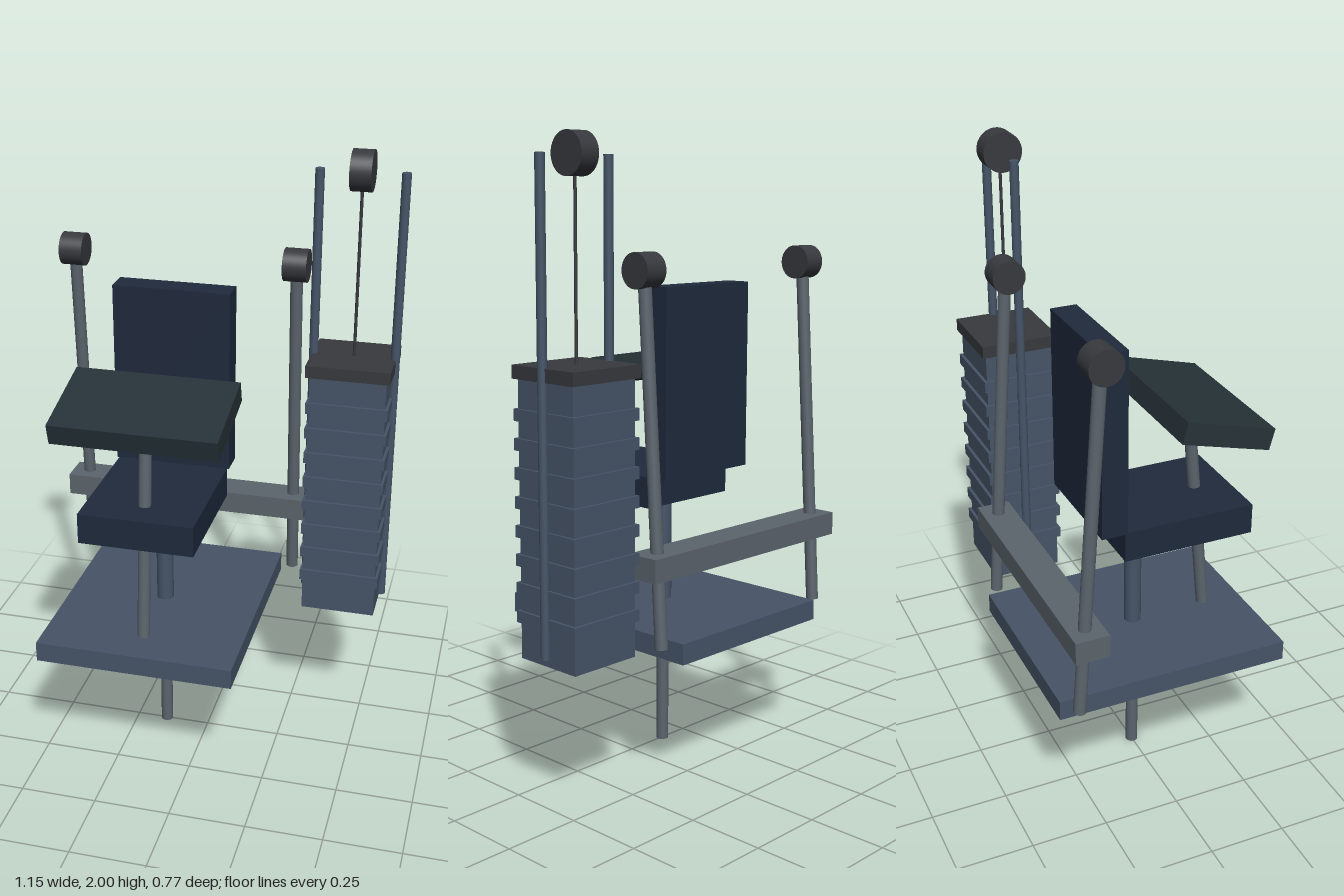
import * as THREE from 'three';

const mat = (color) => new THREE.MeshStandardMaterial({ color });

export function createModel() {
  const model = new THREE.Group();
  const steel = mat(0x5b646c), slate = mat(0x465467), navy = mat(0x1f2a3c);
  const deskGreen = mat(0x263238), dark = mat(0x37393e);

  const add = (name, geometry, material, x, y, z) => {
    const mesh = new THREE.Mesh(geometry, material);
    mesh.name = name;
    mesh.position.set(x, y, z);
    model.add(mesh);
    return mesh;
  };

  // Box given by its limits on each axis
  const block = (name, material, [x0, x1], [y0, y1], [z0, z1]) =>
    add(name, new THREE.BoxGeometry(x1 - x0, y1 - y0, z1 - z0), material,
      (x0 + x1) / 2, (y0 + y1) / 2, (z0 + z1) / 2);

  // Round bar between two points
  const rod = (name, material, radius, from, to, sides = 24) => {
    const a = new THREE.Vector3(...from), b = new THREE.Vector3(...to);
    const mid = a.clone().add(b).multiplyScalar(0.5);
    const mesh = add(name, new THREE.CylinderGeometry(radius, radius, a.distanceTo(b), sides),
      material, mid.x, mid.y, mid.z);
    mesh.quaternion.setFromUnitVectors(new THREE.Vector3(0, 1, 0), b.sub(a).normalize());
  };

  // Wheel with its axle along x
  const wheel = (name, radius, width, x, y, z) =>
    rod(name, dark, radius, [x - width / 2, y, z], [x + width / 2, y, z], 40);

  const cx = -0.147; // centre line of the seat unit

  // Base, leg and foot bar
  block('basePlate', slate, [-0.468, 0.174], [0.434, 0.5], [-0.387, 0.387]);
  rod('groundPost', steel, 0.02, [cx, 0, 0], [cx, 0.44, 0]);
  rod('footBar', dark, 0.019, [cx - 0.064, 0.434, 0], [cx + 0.064, 0.434, 0]);

  // Seat
  rod('seatPost', slate, 0.028, [cx, 0.5, 0], [cx, 0.86, 0]);
  block('seatCushion', navy, [-0.332, 0.038], [0.85, 0.95], [-0.11, 0.325]);
  block('backrest', navy, [-0.339, 0.045], [0.95, 1.55], [-0.19, -0.105]);

  // Tilted front pad on a leaning post
  rod('padPost', steel, 0.02, [cx, 0.49, 0.258], [cx, 1.23, 0.187]);
  const pad = add('frontPad', new THREE.BoxGeometry(0.53, 0.07, 0.301), deskGreen, cx, 1.252, 0.188);
  pad.rotation.x = Math.PI / 12;

  // Rear frame: cross bar and two leaning poles with pulleys
  block('crossBar', steel, [-0.575, 0.284], [0.706, 0.78], [-0.376, -0.267]);
  for (const x of [-0.517, 0.222]) {
    rod('rearPole', steel, 0.02, [x, 0.487, -0.343], [x, 1.61, -0.268]);
    wheel('rearPulley', 0.053, 0.077, x, 1.61, -0.267);
  }

  // Weight stack: core, projecting plates and cap
  const sx = 0.427, sz = -0.199;
  block('stackCore', slate, [sx - 0.121, sx + 0.121], [0.477, 1.31], [sz - 0.115, sz + 0.115]);
  for (let i = 0; i < 8; i++) {
    const y = 0.588 + i * 0.0857;
    block('weightPlate', slate, [sx - 0.13, sx + 0.13], [y, y + 0.036], [sz - 0.125, sz + 0.125]);
  }
  block('stackCap', dark, [sx - 0.133, sx + 0.133], [1.31, 1.35], [sz - 0.128, sz + 0.128]);

  // Guide rods, cable and top pulley
  for (const side of [-1, 1]) {
    const x = sx + side * 0.13;
    rod('guideRod', slate, 0.0145, [x, 0.503, sz], [x, 1.937, sz]);
  }
  rod('cable', dark, 0.005, [sx, 1.35, sz], [sx, 1.94, sz], 12);
  wheel('topPulley', 0.063, 0.066, sx, 1.937, sz);

  return model;
}
